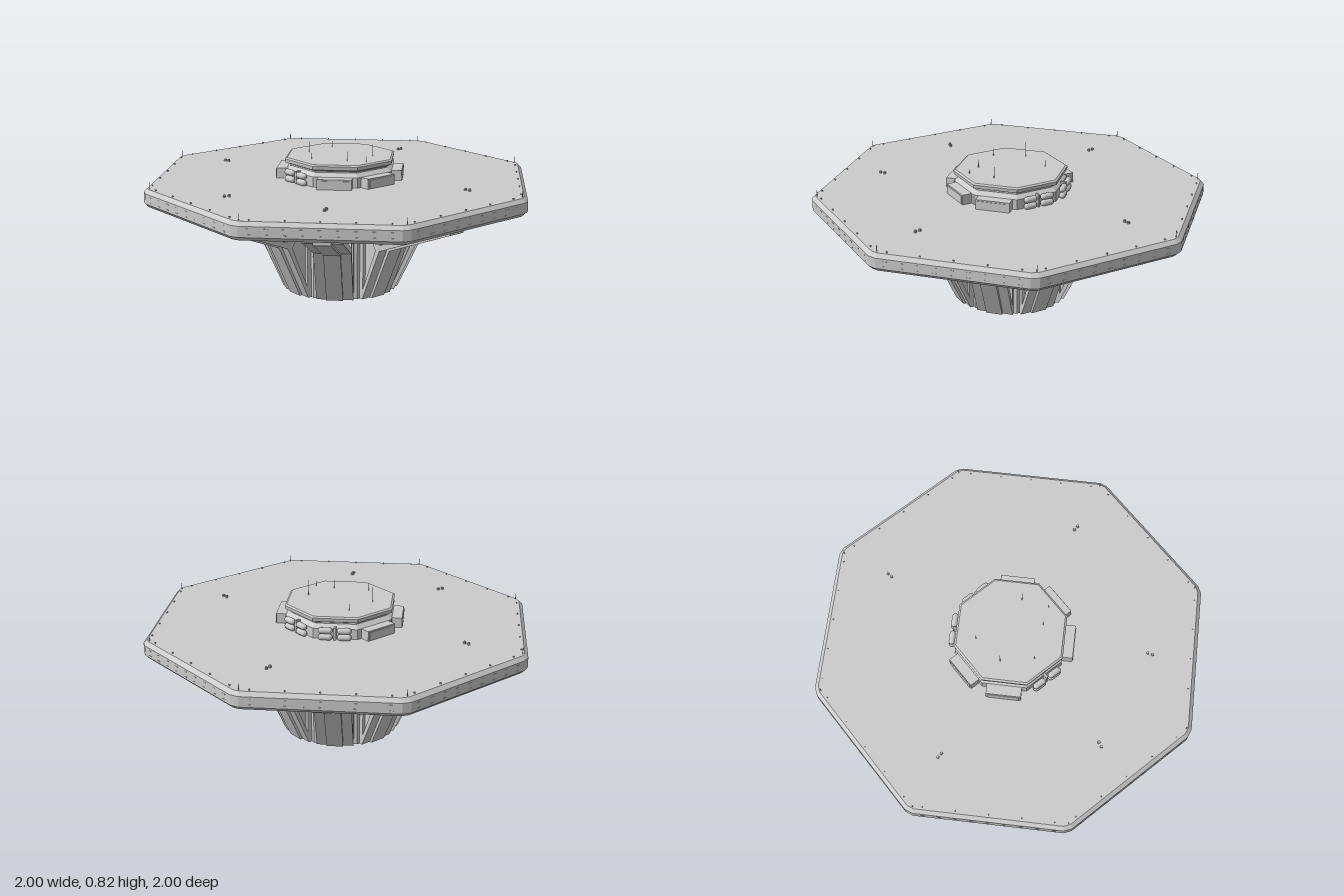
import * as THREE from 'three';

const grey = new THREE.MeshStandardMaterial({ color: 0xcccccc, flatShading: true });
const smooth = new THREE.MeshStandardMaterial({ color: 0xcccccc });
const EIGHTH = Math.PI / 4;

function add(parent, name, geometry, x = 0, y = 0, z = 0, material = grey) {
  const mesh = new THREE.Mesh(geometry, material);
  mesh.name = name;
  mesh.position.set(x, y, z);
  parent.add(mesh);
  return mesh;
}

function addGroup(parent, name, angle = 0) {
  const group = new THREE.Group();
  group.name = name;
  group.rotation.y = angle;
  parent.add(group);
  return group;
}

const toPoints = (list) => list.map(([x, y]) => new THREE.Vector2(x, y));

// Octagon with flats on the axes; cut trims each corner
function octagon(apothem, cut = 0) {
  const half = apothem * Math.tan(Math.PI / 8) - cut;
  const points = [];
  for (let i = 0; i < 8; i++) {
    for (const t of [-half, half]) {
      points.push(new THREE.Vector2(apothem, t).rotateAround(new THREE.Vector2(), i * EIGHTH));
    }
  }
  return points;
}

// Upright octagonal solid of revolution from [apothem, y] pairs
function octagonLathe(profile) {
  const k = 1 / Math.cos(Math.PI / 8);
  return new THREE.LatheGeometry(toPoints(profile.map(([r, y]) => [r * k, y])), 8).rotateY(Math.PI / 8);
}

// Radial plate: outline in (radius, height), centred on its width
function radialPlate(outline, width, holes = []) {
  const shape = new THREE.Shape(toPoints(outline));
  for (const hole of holes) shape.holes.push(new THREE.Path(toPoints(hole)));
  return new THREE.ExtrudeGeometry(shape, { depth: width, bevelEnabled: false }).translate(0, 0, -width / 2);
}

function buildPlatform(root) {
  const platform = addGroup(root, 'platform');
  const bevel = 0.02;
  const slab = new THREE.ExtrudeGeometry(new THREE.Shape(octagon(1 - bevel, 0.02)), {
    depth: 0.055, bevelThickness: bevel, bevelSize: bevel, bevelSegments: 1,
  }).rotateX(-Math.PI / 2);
  add(platform, 'deck', slab, 0, 0.54, 0);

  for (let i = 0; i < 8; i++) {
    const side = addGroup(platform, 'deckEdge', i * EIGHTH);
    // Two rows of small windows and a row of rim lights
    for (let j = -4; j <= 4; j++) {
      for (const y of [0.553, 0.582]) {
        add(side, 'edgeWindow', new THREE.BoxGeometry(0.003, 0.005, 0.02), 1, y, j * 0.085);
      }
      if (j % 2 === 0) add(side, 'rimLight', new THREE.BoxGeometry(0.006, 0.008, 0.006), 0.965, 0.618, j * 0.085);
    }
    // Corner mast
    add(side, 'cornerMast', new THREE.CylinderGeometry(0.0015, 0.0025, 0.04, 5), 0.97, 0.63, 0.39);
  }

  // Paired deck fittings
  for (const [x, z] of [[-0.29, -0.7], [0.69, -0.29], [-0.69, 0.28], [0.53, 0.53], [0, 0.75]]) {
    const pair = addGroup(platform, 'deckFitting', Math.atan2(-z, x));
    const r = Math.hypot(x, z);
    for (const s of [-1, 1]) {
      add(pair, 'deckPost', new THREE.CylinderGeometry(0.007, 0.008, 0.015, 8), r + s * 0.013, 0.62, s * 0.003);
    }
  }
}

function buildPedestal(root) {
  const pedestal = addGroup(root, 'pedestal');
  // Hollow octagonal core with a ceiling inside
  const ring = new THREE.Shape(octagon(0.285));
  ring.holes.push(new THREE.Path(octagon(0.25)));
  add(pedestal, 'coreWall',
    new THREE.ExtrudeGeometry(ring, { depth: 0.52, bevelEnabled: false }).rotateX(-Math.PI / 2));
  add(pedestal, 'coreCeiling', octagonLathe([[0, 0.25], [0.27, 0.25], [0.27, 0.28], [0, 0.28]]));

  const outline = [[0.26, 0], [0.305, 0], [0.44, 0.3], [0.89, 0.488], [0.89, 0.52], [0.26, 0.52]];
  const spine = [[0.255, 0], [0.32, 0], [0.457, 0.295], [0.91, 0.483], [0.91, 0.52], [0.255, 0.52]];
  const holes = [
    [[0.31, 0.06], [0.31, 0.46], [0.41, 0.297]],
    [[0.335, 0.495], [0.81, 0.495], [0.445, 0.335]],
  ];
  const frame = radialPlate(outline, 0.2, holes);
  const web = radialPlate(outline, 0.165);
  const ridge = radialPlate(spine, 0.09);
  for (let i = 0; i < 8; i++) {
    const strut = addGroup(pedestal, 'strut', i * EIGHTH);
    add(strut, 'strutFrame', frame);
    add(strut, 'strutWeb', web);
    add(strut, 'strutSpine', ridge);
  }
}

function buildHub(root) {
  const hub = addGroup(root, 'hub');
  add(hub, 'hubBody', octagonLathe([
    [0, 0.605], [0.285, 0.605], [0.285, 0.67], [0.26, 0.69], [0.26, 0.697],
    [0.285, 0.708], [0.288, 0.728], [0.278, 0.735], [0, 0.735],
  ]));

  // Sides run from +x towards -z: lockers on five, tanks on three
  ['locker', 'locker', 'tanks', 'tanks', 'locker', 'locker', 'tanks', 'locker'].forEach((kind, i) => {
    const side = addGroup(hub, kind, i * EIGHTH);
    if (kind === 'locker') {
      add(side, 'lockerBox', new THREE.BoxGeometry(0.07, 0.06, 0.185), 0.305, 0.64, 0);
      add(side, 'lockerDoor', new THREE.BoxGeometry(0.006, 0.045, 0.165), 0.34, 0.64, 0);
      return;
    }
    const tank = new THREE.CapsuleGeometry(0.017, 0.042, 6, 12).rotateX(Math.PI / 2);
    for (const z of [-0.05, 0.05]) {
      for (const y of [0.632, 0.668]) add(side, 'tank', tank, 0.307, y, z, smooth);
    }
    add(side, 'tankBracket', new THREE.BoxGeometry(0.03, 0.07, 0.012), 0.295, 0.648, 0);
  });

  // Roof aerials: x, z, height
  for (const [x, z, h] of [[-0.15, 0.1, 0.085], [0.155, -0.1, 0.085], [-0.17, -0.08, 0.035],
    [0.155, 0.08, 0.05], [0.24, 0.02, 0.03], [0.0, 0.2, 0.04]]) {
    add(hub, 'aerial', new THREE.CylinderGeometry(0.001, 0.002, h, 5), x, 0.735 + h / 2, z);
  }
}

export function createModel() {
  const root = new THREE.Group();
  root.name = 'landingPlatform';
  buildPlatform(root);
  buildPedestal(root);
  buildHub(root);
  return root;
}
